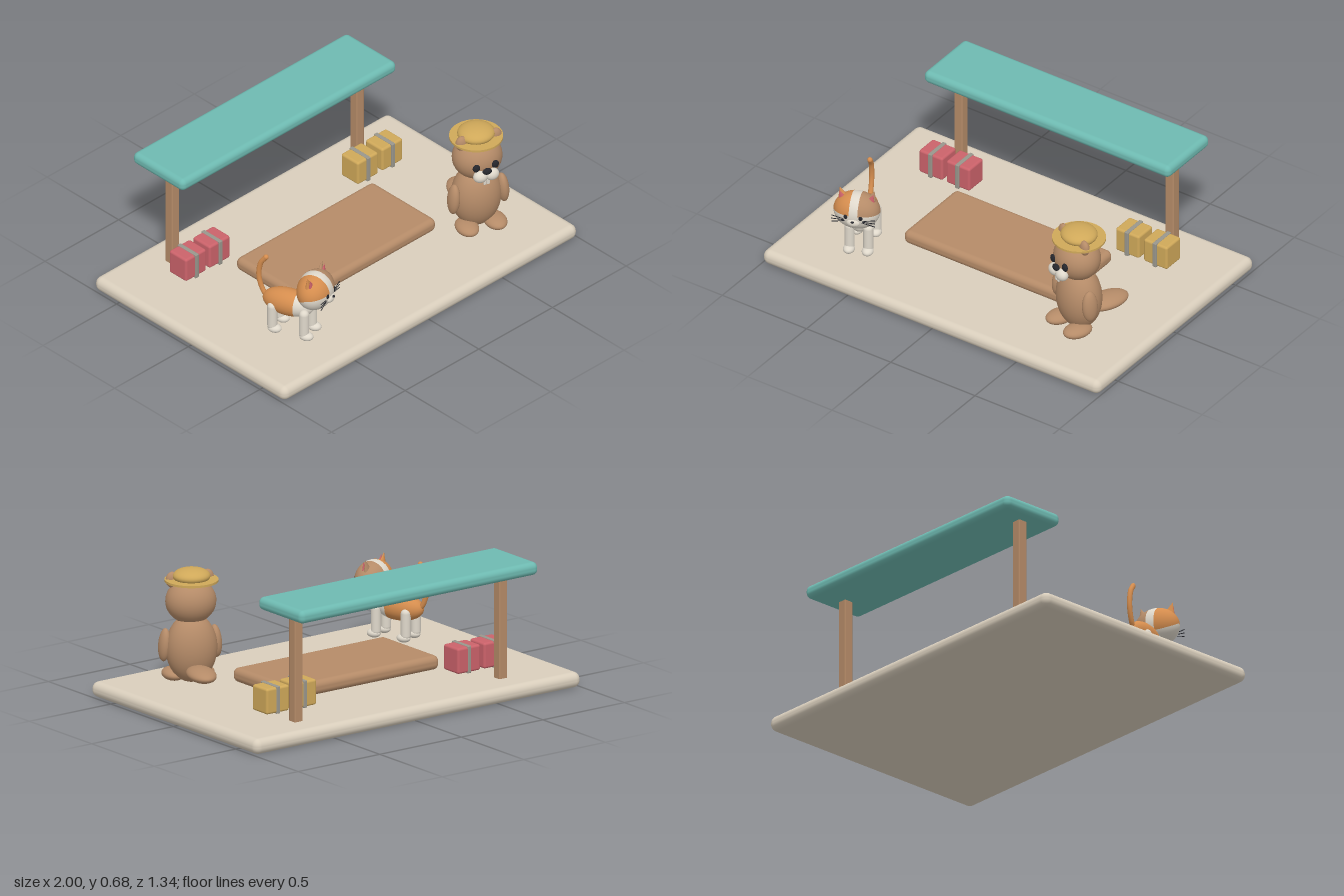
import * as THREE from 'three';
import { RoundedBoxGeometry } from 'three/addons/geometries/RoundedBoxGeometry.js';

const paint = (name, color) => {
  const m = new THREE.MeshStandardMaterial({ color });
  m.name = name;
  return m;
};

export function createModel() {
  const stone = paint('stone', 0xd9cebc), teal = paint('teal', 0x6ebab1);
  const brown = paint('brown', 0xb58b68), orange = paint('orange', 0xd58d4e);
  const red = paint('red', 0xcb626a), gold = paint('gold', 0xcfa859);
  const cream = paint('cream', 0xdfd8cb), dark = paint('dark', 0x25262c);
  const grey = paint('grey', 0x99968c);

  const root = new THREE.Group();
  root.name = 'stationScene';

  const add = (parent, name, geo, mat, pos) => {
    const mesh = new THREE.Mesh(geo, mat);
    mesh.name = name;
    mesh.position.set(...pos);
    parent.add(mesh);
    return mesh;
  };
  const box = (parent, name, mat, size, pos, r) =>
    add(parent, name, new RoundedBoxGeometry(...size, 4, r), mat, pos);
  const ball = (parent, name, mat, half, pos) => {
    const mesh = add(parent, name, new THREE.SphereGeometry(1, 32, 20), mat, pos);
    mesh.scale.set(...half);
    return mesh;
  };
  const group = (name, pos, yaw) => {
    const g = new THREE.Group();
    g.name = name;
    g.position.set(...pos);
    g.rotation.y = yaw;
    root.add(g);
    return g;
  };

  // Platform, bench slab and shelter
  box(root, 'platform', stone, [2, 0.078, 1.335], [0, 0.039, 0.003], 0.036);
  box(root, 'bench', brown, [0.935, 0.072, 0.455], [0, 0.119, 0.003], 0.03);
  box(root, 'roof', teal, [1.46, 0.066, 0.355], [0, 0.651, -0.495], 0.028);
  for (const x of [-0.627, 0.627])
    box(root, 'post', brown, [0.05, 0.56, 0.05], [x, 0.35, -0.495], 0.006);

  // Strapped suitcases
  for (const [x, mat] of [[-0.664, red], [-0.503, red], [0.503, gold], [0.669, gold]]) {
    box(root, 'suitcase', mat, [0.14, 0.13, 0.12], [x, 0.17, -0.349], 0.012);
    box(root, 'strap', grey, [0.022, 0.138, 0.13], [x, 0.17, -0.346], 0.004);
  }

  makeCat();
  makeBeaver();
  return root;

  function makeCat() {
    const cat = group('cat', [-0.625, 0, 0.34], 0.37);

    // Body with its pole along z: pale front, orange rear
    for (const [mat, t0, t1] of [[cream, 0, 1.2], [orange, 1.2, Math.PI]]) {
      const geo = new THREE.SphereGeometry(1, 32, 16, 0, Math.PI * 2, t0, t1 - t0).rotateX(Math.PI / 2);
      add(cat, 'catBody', geo, mat, [0, 0.252, -0.02]).scale.set(0.066, 0.07, 0.135);
    }

    // Head with its pole along x: two coloured patches around a pale blaze
    const headPart = (mat, t0, t1, p0, p1) => {
      const geo = new THREE.SphereGeometry(1, 28, 16, p0, p1 - p0, t0, t1 - t0).rotateZ(-Math.PI / 2);
      add(cat, 'catHead', geo, mat, [0, 0.368, 0.125]).scale.set(0.116, 0.097, 0.088);
    };
    const back = -2.1, brow = 1.45, full = Math.PI * 2;
    headPart(brown, 0, 1.38, back, brow);
    headPart(orange, 1.76, Math.PI, back, brow);
    headPart(cream, 1.38, 1.76, 0, full);
    headPart(cream, 0, 1.38, brow, back + full);
    headPart(cream, 1.76, Math.PI, brow, back + full);
    ball(cat, 'catMuzzle', cream, [0.034, 0.022, 0.018], [0, 0.342, 0.205]);
    ball(cat, 'catNose', dark, [0.008, 0.006, 0.006], [0, 0.354, 0.222]);

    for (const s of [-1, 1]) {
      // Ears with rosy inner faces
      const ear = add(cat, 'catEar', new THREE.ConeGeometry(0.034, 0.075, 20), s > 0 ? brown : orange, [s * 0.076, 0.448, 0.12]);
      ear.rotation.z = -s * 0.3;
      ear.scale.z = 0.55;
      const inner = add(cat, 'innerEar', new THREE.ConeGeometry(0.025, 0.056, 20), red, [s * 0.076, 0.445, 0.134]);
      inner.rotation.z = -s * 0.3;
      inner.scale.z = 0.5;

      ball(cat, 'catEye', dark, [0.011, 0.012, 0.006], [s * 0.037, 0.372, 0.207]);
      for (const tilt of [-0.22, 0, 0.22]) {
        const w = add(cat, 'whisker', new THREE.CylinderGeometry(0.002, 0.002, 0.07, 6), dark,
          [s * 0.075, 0.35 + tilt * 0.05, 0.203]);
        w.rotation.z = Math.PI / 2 + s * tilt;
      }

      // Legs and paws
      for (const z of [0.085, -0.085]) {
        add(cat, 'catLeg', new THREE.CapsuleGeometry(0.025, 0.11, 6, 16), cream, [s * 0.047, 0.18, z]);
        ball(cat, 'catPaw', cream, [0.029, 0.022, 0.036], [s * 0.047, 0.11, z + 0.012]);
      }
    }

    // Upright curved tail
    const path = new THREE.CatmullRomCurve3([[0.25, -0.13], [0.28, -0.155], [0.36, -0.178], [0.44, -0.168], [0.482, -0.14]]
      .map(([y, z]) => new THREE.Vector3(0, y, z)));
    add(cat, 'catTail', new THREE.TubeGeometry(path, 24, 0.013, 10), orange, [0, 0, 0]);
    ball(cat, 'catTailTip', orange, [0.013, 0.013, 0.013], [0, 0.482, -0.14]);
  }

  function makeBeaver() {
    const beaver = group('beaver', [0.643, 0, 0.32], -0.36);
    ball(beaver, 'beaverBody', brown, [0.128, 0.172, 0.107], [0, 0.266, 0]);
    ball(beaver, 'beaverHead', brown, [0.126, 0.113, 0.113], [0, 0.5, 0.012]);
    ball(beaver, 'beaverTail', brown, [0.07, 0.035, 0.118], [0, 0.174, -0.165]);

    for (const s of [-1, 1]) {
      const arm = ball(beaver, 'beaverArm', brown, [0.03, 0.083, 0.042], [s * 0.13, 0.283, 0.025]);
      arm.rotation.z = s * 0.08;
      ball(beaver, 'beaverFoot', brown, [0.056, 0.032, 0.078], [s * 0.075, 0.125, 0.06]);
      ball(beaver, 'beaverEar', brown, [0.032, 0.04, 0.022], [s * 0.09, 0.608, 0.03]);
      ball(beaver, 'beaverEye', dark, [0.019, 0.021, 0.012], [s * 0.05, 0.503, 0.118]);
      ball(beaver, 'beaverMuzzle', cream, [0.037, 0.032, 0.03], [s * 0.03, 0.453, 0.122]);
      box(beaver, 'tooth', cream, [0.015, 0.028, 0.009], [s * 0.009, 0.417, 0.128], 0.003);
    }
    ball(beaver, 'beaverNose', dark, [0.024, 0.017, 0.015], [0, 0.484, 0.136]);

    // Straw hat
    add(beaver, 'hatBrim', new THREE.CylinderGeometry(0.132, 0.132, 0.011, 48), gold, [0, 0.608, 0]);
    ball(beaver, 'hatCrown', gold, [0.093, 0.04, 0.09], [0, 0.629, 0]);
  }
}
